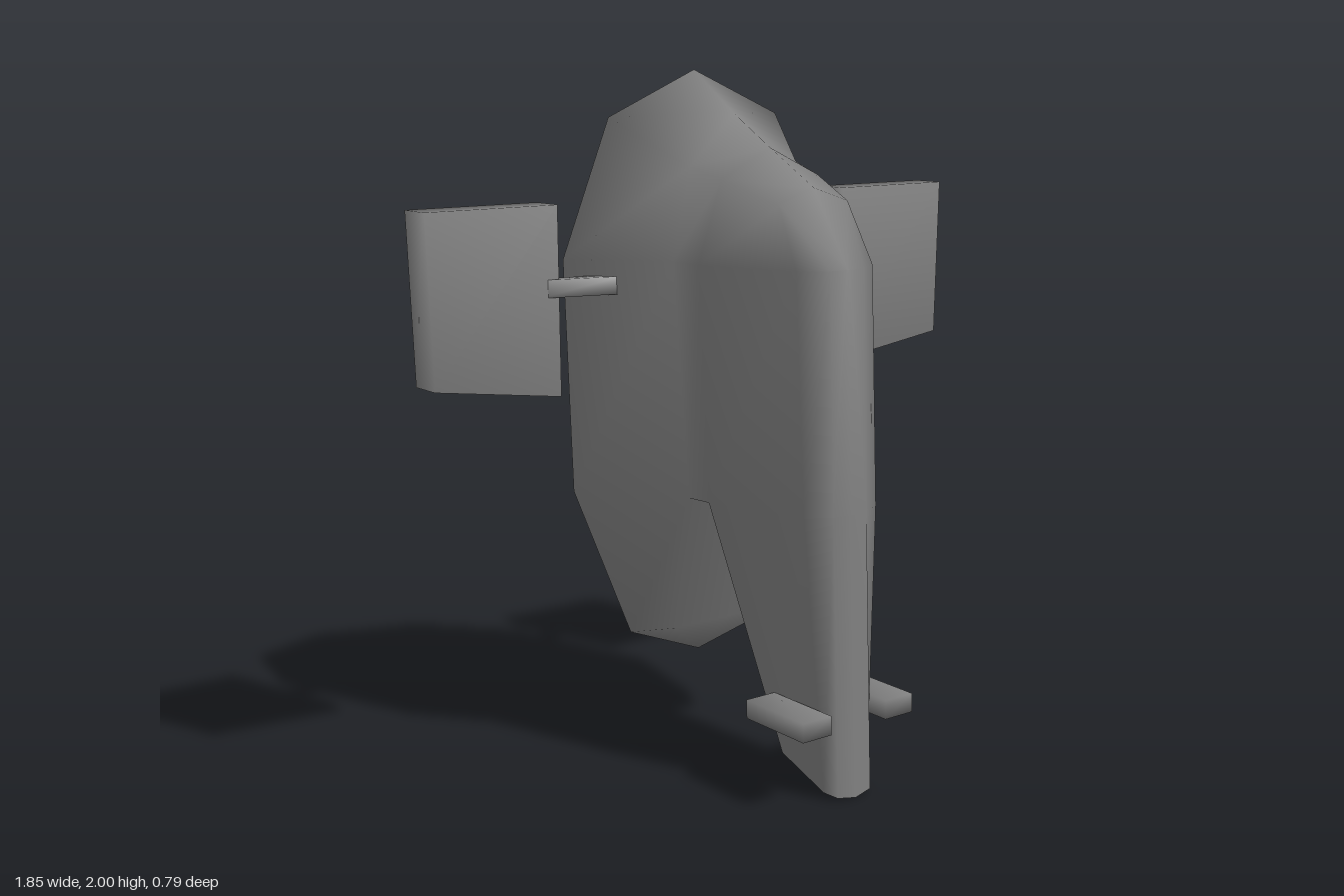
import * as THREE from 'three';
import { mergeVertices } from 'three/addons/utils/BufferGeometryUtils.js';

// Adds a grid of points (rows downward, columns forward) and its mirror image.
function addPatch(out, rows) {
  const tri = (a, b, c) => {
    const v = [a, b, c].map((p) => new THREE.Vector3(...p));
    const n = v[1].clone().sub(v[0]).cross(v[2].clone().sub(v[0]));
    if (n.length() < 1e-6) return;
    out.push(...a, ...b, ...c);
    for (const [x, y, z] of [a, c, b]) out.push(-x, y, z);
  };
  for (let i = 0; i < rows.length - 1; i++) {
    for (let j = 0; j < rows[i].length - 1; j++) {
      const a = rows[i][j], b = rows[i + 1][j], c = rows[i + 1][j + 1], d = rows[i][j + 1];
      tri(a, d, b);
      tri(b, d, c);
    }
  }
}

// Welds shared corners so the shading runs smoothly over every edge.
function smooth(geo) {
  geo.deleteAttribute('normal');
  geo.deleteAttribute('uv');
  const welded = mergeVertices(geo);
  welded.computeVertexNormals();
  return welded;
}

const mid = ([, y, z]) => [0, y, z];

function hullGeometry() {
  const out = [];
  const back = -0.355;
  // Half sections from the back rim to the nose centre line
  const top = [[0, 2, back], [0, 1.88, -0.165], [0, 1.79, 0], [0, 1.69, 0.19], [0, 1.48, 0.335], [0, 1.48, 0.335]];
  const shoulder = [[0.3, 1.87, back], [0.19, 1.74, -0.12], [0.17, 1.71, 0], [0.12, 1.65, 0.19], [0.06, 1.48, 0.33], [0, 1.48, 0.335]];
  const chest = [[0.46, 1.48, back], [0.25, 1.48, -0.12], [0.25, 1.48, 0], [0.135, 1.48, 0.28], [0.06, 1.48, 0.33], [0, 1.48, 0.335]];
  const waist = [[0.44, 0.81, back], [0.23, 0.81, -0.08], [0.22, 0.81, 0], [0.13, 0.81, 0.31], [0.06, 0.81, 0.35], [0, 0.81, 0.357]];
  addPatch(out, [top, shoulder, chest, waist]);

  // Front leg with its rear wall and sole
  const sole = [[0.075, 0.08, 0.15], [0.08, 0.02, 0.34], [0.06, 0.01, 0.378], [0, 0, 0.385]];
  addPatch(out, [[mid(waist[2]), ...waist.slice(2)], [mid(sole[0]), ...sole]]);
  addPatch(out, [sole, sole.map(mid)]);

  // Roof of the gap between leg and tail
  const roof = waist.slice(1, 3);
  addPatch(out, [roof, roof.map(mid)]);

  // Tail lobe
  const rim = [0.25, 0.35, back], tip = [0.2, 0.39, -0.2], keel = [0, 0.25, back];
  addPatch(out, [
    [waist[0], waist[1], mid(waist[1])],
    [rim, tip, mid(tip)],
    [keel, mid(tip), mid(tip)],
  ]);

  // Flat back
  const edge = [top[0], shoulder[0], chest[0], waist[0], rim, keel];
  addPatch(out, edge.map((p) => [mid(p), p]));

  const geo = new THREE.BufferGeometry();
  geo.setAttribute('position', new THREE.Float32BufferAttribute(out, 3));
  return smooth(geo);
}

export function createModel() {
  const model = new THREE.Group();
  model.name = 'craft';
  const darkGrey = new THREE.MeshStandardMaterial({ color: 0x808080 });
  const add = (name, geo) => {
    const mesh = new THREE.Mesh(geo, darkGrey);
    mesh.name = name;
    model.add(mesh);
    return mesh;
  };

  add('hull', hullGeometry());

  for (const [side, s] of [['left', 1], ['right', -1]]) {
    // Wing panel, tapered toward its lower outer corner
    const shape = new THREE.Shape(
      [[0.515, 1.64], [0.925, 1.64], [0.91, 1.16], [0.515, 1.105]].map(([x, y]) => new THREE.Vector2(s * x, y)),
    );
    const panel = new THREE.ExtrudeGeometry(shape, { depth: 0.105, bevelEnabled: false });
    add(side + 'WingPanel', smooth(panel)).position.z = -0.395;

    // Strut joining hull and panel
    const from = new THREE.Vector3(s * 0.33, 1.41, -0.258);
    const to = new THREE.Vector3(s * 0.57, 1.41, -0.318);
    const dir = to.clone().sub(from);
    const strut = add(side + 'WingStrut', smooth(new THREE.BoxGeometry(dir.length(), 0.05, 0.045)));
    strut.position.copy(from).add(to).multiplyScalar(0.5);
    strut.quaternion.setFromUnitVectors(new THREE.Vector3(s, 0, 0), dir.normalize());

    // Small fin at the foot of the leg
    add(side + 'FootFin', smooth(new THREE.BoxGeometry(0.1, 0.055, 0.25))).position.set(s * 0.15, 0.238, 0.27);
  }
  return model;
}
